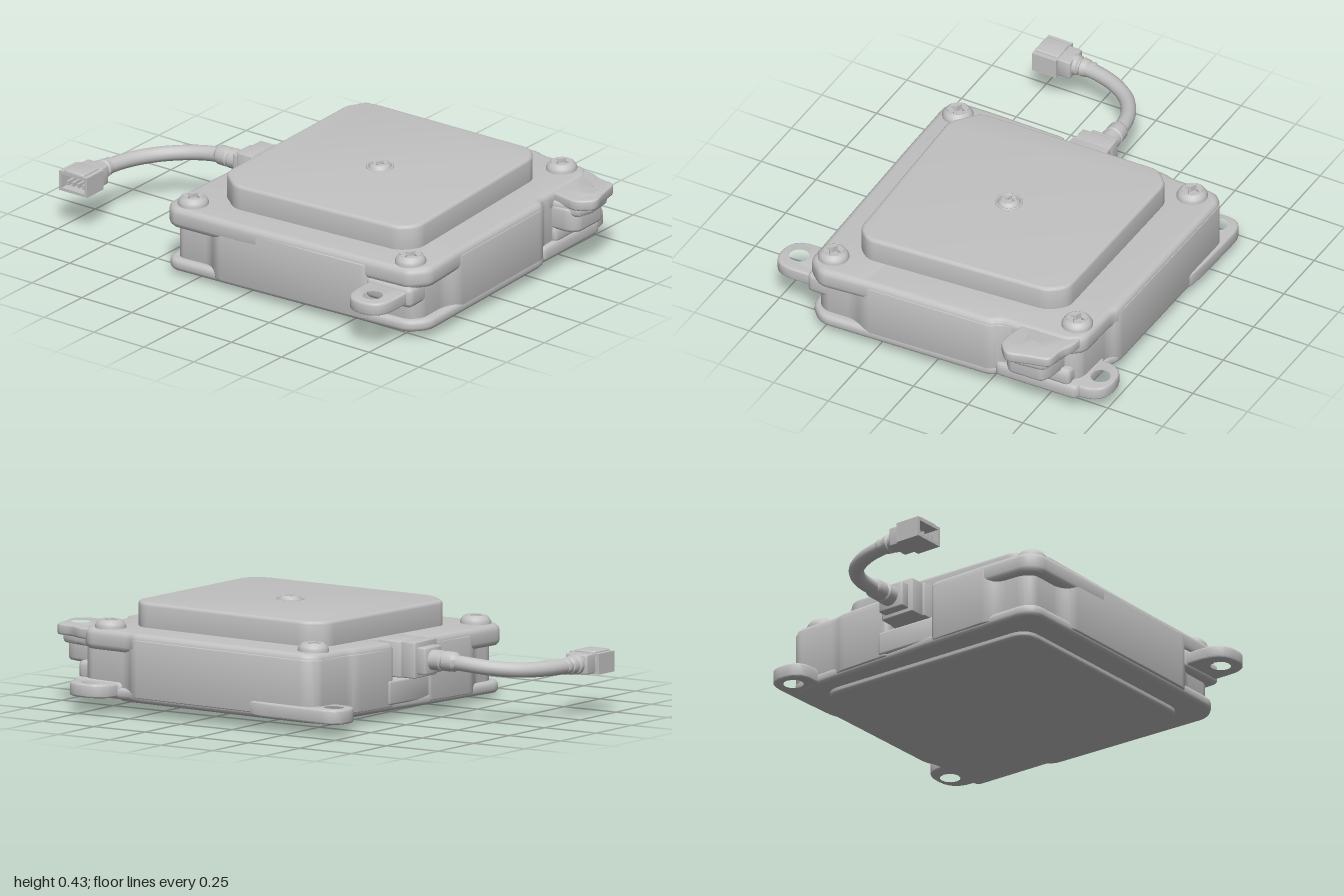
import * as THREE from 'three';
import { toCreasedNormals } from 'three/addons/utils/BufferGeometryUtils.js';

const grey = new THREE.MeshStandardMaterial({ color: 0xc2c2c2 });
grey.name = 'cast grey';

function add(parent, name, geo, x = 0, y = 0, z = 0) {
  const m = new THREE.Mesh(geo, grey);
  m.name = name;
  m.position.set(x, y, z);
  parent.add(m);
  return m;
}

// Closed outline in plan (x, z) with every corner rounded
function outline(pts, r) {
  const s = new THREE.Shape();
  const v = pts.map(([x, z]) => new THREE.Vector2(x, -z));
  v.forEach((p, i) => {
    const a = v[(i + v.length - 1) % v.length], b = v[(i + 1) % v.length];
    const cut = q => p.clone().lerp(q, Math.min(0.48, r / p.distanceTo(q)));
    const p0 = cut(a), p1 = cut(b);
    if (i) s.lineTo(p0.x, p0.y); else s.moveTo(p0.x, p0.y);
    s.quadraticCurveTo(p.x, p.y, p1.x, p1.y);
  });
  s.closePath();
  return s;
}

// Upright slab between two heights with softened rims
function slab(shape, y0, y1, bevel = 0.01) {
  const g = new THREE.ExtrudeGeometry(shape, {
    depth: y1 - y0 - 2 * bevel, bevelEnabled: bevel > 0, bevelSize: bevel,
    bevelThickness: bevel, bevelOffset: -bevel, bevelSegments: 3, curveSegments: 6,
  });
  g.translate(0, 0, bevel).rotateX(-Math.PI / 2).translate(0, y0, 0);
  return toCreasedNormals(g, 0.7);
}

function hole(shape, x, z, r) {
  const h = new THREE.Path();
  h.absarc(x, -z, r, 0, Math.PI * 2, true);
  shape.holes.push(h);
  return shape;
}

const rect = (x0, x1, z0, z1) => [[x0, z0], [x1, z0], [x1, z1], [x0, z1]];

// Domed screw with a four-point recess
function screw(parent, name, x, y, z, scale = 1) {
  const g = new THREE.Group();
  g.name = name;
  const dome = [[0.063, -0.01], [0.063, 0.01], [0.058, 0.02], [0.051, 0.029], [0.042, 0.035]];
  add(g, 'screwDome', new THREE.LatheGeometry(dome.map(p => new THREE.Vector2(...p)), 28));
  const cap = new THREE.Shape().absarc(0, 0, 0.042, 0, Math.PI * 2);
  const star = new THREE.Path();
  for (let i = 0; i < 8; i++) {
    const r = i % 2 ? 0.016 : 0.036, a = -i * Math.PI / 4;
    star[i ? 'lineTo' : 'moveTo'](r * Math.cos(a), r * Math.sin(a));
  }
  star.closePath();
  cap.holes.push(star);
  add(g, 'screwCap', slab(cap, 0.008, 0.035, 0));
  add(g, 'recessFloor', new THREE.CylinderGeometry(0.041, 0.041, 0.02, 20), 0, 0.001, 0);
  g.position.set(x, y, z);
  g.scale.setScalar(scale);
  parent.add(g);
}

function buildHousing() {
  const h = new THREE.Group();
  h.name = 'housing';
  const notch = [[-0.388, 0.065], [-0.29, 0.065], [-0.29, -0.155], [-0.38, -0.155]];

  // Stacked case layers: foot flange, walls with corner pockets, top rim
  const foot = [[-0.345, -0.65], [-0.3, -0.682], [0.53, -0.682], [0.57, -0.662], [0.78, -0.655], [0.82, -0.6],
    [0.825, -0.3], [0.855, -0.27], [0.868, 0.5], [0.8, 0.57], [0, 0.59], [-0.36, 0.595], [-0.397, 0.55], [-0.385, 0.06]];
  add(h, 'footFlange', slab(outline(foot, 0.04), 0.035, 0.085, 0.018));
  const wall = [[-0.345, -0.645], [-0.3, -0.684], [0.53, -0.684], [0.58, -0.65], [0.77, -0.645], [0.81, -0.6],
    [0.824, -0.3], [0.854, -0.268], [0.864, 0.3], [0.83, 0.37], [0.832, 0.5], [0.79, 0.545], [0.65, 0.55],
    [0.6, 0.587], [-0.13, 0.602], [-0.19, 0.56], [-0.34, 0.565], [-0.37, 0.52], [-0.37, 0.42],
    [-0.401, 0.36], ...notch, [-0.368, -0.4], [-0.353, -0.44]];
  add(h, 'walls', slab(outline(wall, 0.03), 0.052, 0.288, 0.004));
  const rim = [[-0.345, -0.64], [-0.3, -0.682], [0.53, -0.682], [0.56, -0.665], [0.77, -0.66], [0.82, -0.6],
    [0.822, -0.3], [0.852, -0.27], [0.862, 0.3], [0.875, 0.5], [0.81, 0.575], [0, 0.6],
    [-0.35, 0.607], [-0.4, 0.56], [-0.4, 0.4], ...notch, [-0.365, -0.4], [-0.35, -0.44]];
  add(h, 'topRim', slab(outline(rim, 0.03), 0.225, 0.312, 0.025));
  add(h, 'notchSill', slab(outline(rect(-0.383, -0.2, -0.2, 0.11), 0.01), 0.06, 0.16));

  // Raised lid and bottom plate
  const lid = [[-0.25, -0.43], [-0.18, -0.5], [0.62, -0.5], [0.68, -0.43], [0.717, 0.37],
    [0.655, 0.435], [-0.14, 0.47], [-0.25, 0.38]];
  add(h, 'lid', slab(outline(lid, 0.035), 0.28, 0.413, 0.014));
  const plate = [[-0.28, -0.56], [0.71, -0.56], [0.745, 0.46], [-0.28, 0.475]];
  add(h, 'bottomPlate', slab(outline(plate, 0.08), 0.012, 0.07, 0.012));

  // Mounting ears
  const ear = (name, pts, x, z, y0, y1) =>
    add(h, name, slab(hole(outline(pts, 0.1), x, z, 0.05), y0, y1, 0.008));
  ear('frontEar', rect(0.62, 0.81, 0.46, 0.76), 0.715, 0.68, 0.167, 0.22);
  ear('backEar', rect(0.62, 0.82, -0.765, -0.45), 0.72, -0.7, 0.045, 0.1);
  ear('leftBackEar', [[-0.47, -0.7], [-0.3, -0.7], [0.0, -0.69], [0, -0.58], [-0.3, -0.53], [-0.47, -0.53]],
    -0.4, -0.615, 0.04, 0.1);
  add(h, 'frontEarRoot', slab(outline(rect(0.6, 0.83, 0.45, 0.585), 0.03), 0.15, 0.237, 0.02));
  add(h, 'backLedge', slab(outline(rect(0.6, 0.845, -0.66, -0.28), 0.03), 0.042, 0.105, 0.015));
  add(h, 'backEarRib', slab(outline(rect(0.75, 0.84, -0.62, -0.37), 0.02), 0.09, 0.17, 0.02));
  const side = [[0.74, -0.645], [0.83, -0.635], [0.88, -0.607], [0.96, -0.602], [0.98, -0.5], [1.005, -0.42],
    [0.94, -0.365], [0.83, -0.385], [0.76, -0.4]];
  add(h, 'sideEar', slab(hole(outline(side, 0.03), 0.915, -0.49, 0.048), 0.26, 0.305, 0.008));
  const gusset = [[0.78, -0.61], [0.88, -0.59], [0.95, -0.57], [0.965, -0.45], [0.94, -0.38], [0.78, -0.37]];
  add(h, 'sideEarWeb', slab(outline(gusset, 0.02), 0.225, 0.275, 0.015));
  add(h, 'sideEarGusset', slab(outline([[0.78, -0.59], [0.9, -0.57], [0.938, -0.55], [0.938, -0.4],
    [0.9, -0.37], [0.78, -0.37]], 0.02), 0.155, 0.26, 0.015));

  // Screws
  [[-0.27, -0.57], [0.705, -0.585], [-0.305, 0.52], [0.765, 0.495]].forEach(([x, z], i) =>
    screw(h, 'cornerScrew' + (i + 1), x, 0.31, z));
  screw(h, 'centreScrew', 0.23, 0.401, -0.01, 0.75);
  const seat = new THREE.TorusGeometry(0.052, 0.005, 8, 28).rotateX(Math.PI / 2);
  add(h, 'centreScrewSeat', seat, 0.23, 0.413, -0.01);

  // Lean the whole casing slightly by baking a shear into each mesh
  const shear = new THREE.Matrix4().set(1, 0, 0, 0, 0.012, 1, -0.02, 0, 0, 0, 1, 0, 0, 0, 0, 1);
  h.updateMatrixWorld(true);
  h.traverse(o => {
    if (o.isMesh) o.geometry.applyMatrix4(o.matrixWorld).applyMatrix4(shear);
  });
  h.traverse(o => { o.position.set(0, 0, 0); o.scale.set(1, 1, 1); });
  return h;
}

function buildCable() {
  const c = new THREE.Group();
  c.name = 'cable';
  const box = (name, x0, x1, y0, y1, z0, z1) =>
    add(c, name, slab(outline(rect(x0, x1, z0, z1), 0.008), y0, y1, 0.005));
  // Plug seated in the casing
  box('plugBody', -0.39, -0.275, 0.165, 0.312, -0.13, 0.042);
  box('plugShoulder', -0.455, -0.38, 0.165, 0.312, -0.125, 0.032);
  box('plugNeck', -0.495, -0.44, 0.182, 0.29, -0.108, 0.01);

  // Sleeves, built from radii along an axis
  const sleeve = (name, profile) =>
    add(c, name, toCreasedNormals(new THREE.LatheGeometry(
      profile.map(([r, y]) => new THREE.Vector2(r, y)), 20), 0.6));
  const s1 = sleeve('plugSleeve', [[0.042, 0], [0.042, 0.05], [0.036, 0.055], [0.036, 0.062],
    [0.041, 0.067], [0.04, 0.11], [0.03, 0.125]]);
  s1.rotation.z = Math.PI / 2;
  s1.position.set(-0.49, 0.238, -0.052);
  const s2 = sleeve('endSleeve', [[0.043, 0], [0.041, 0.025], [0.034, 0.03], [0.034, 0.037],
    [0.039, 0.042], [0.036, 0.065], [0.031, 0.07], [0.033, 0.09], [0.028, 0.1]]);
  s2.rotation.x = -Math.PI / 2;
  s2.position.set(-0.928, 0.21, 0.335);

  const path = new THREE.CatmullRomCurve3([[-0.57, 0.238, -0.052], [-0.65, 0.232, -0.046], [-0.74, 0.222, -0.018],
    [-0.83, 0.213, 0.045], [-0.89, 0.21, 0.135], [-0.918, 0.21, 0.225], [-0.928, 0.21, 0.32]]
    .map(p => new THREE.Vector3(...p)));
  add(c, 'wire', new THREE.TubeGeometry(path, 48, 0.031, 16));

  // Open end connector with contact pins
  box('endBlock', -0.98, -0.875, 0.17, 0.25, 0.325, 0.39);
  const shell = new THREE.Shape([[-0.07, -0.042], [0.07, -0.042], [0.07, 0.042], [-0.07, 0.042]]
    .map(p => new THREE.Vector2(...p)));
  shell.holes.push(new THREE.Path([[-0.058, -0.03], [-0.058, 0.028], [0.058, 0.028], [0.058, -0.03]]
    .map(p => new THREE.Vector2(...p))));
  add(c, 'endShell', new THREE.ExtrudeGeometry(shell, { depth: 0.11, bevelEnabled: false }), -0.93, 0.208, 0.38);
  box('endShellFloor', -0.995, -0.865, 0.17, 0.245, 0.381, 0.41);
  box('endLatch', -0.98, -0.88, 0.24, 0.258, 0.382, 0.488);
  for (let i = 0; i < 4; i++) {
    add(c, 'contactPin' + (i + 1), new THREE.BoxGeometry(0.01, 0.018, 0.07), -0.969 + i * 0.026, 0.198, 0.44);
  }
  return c;
}

export function createModel() {
  const model = new THREE.Group();
  model.name = 'controlUnit';
  model.add(buildHousing(), buildCable());
  return model;
}
